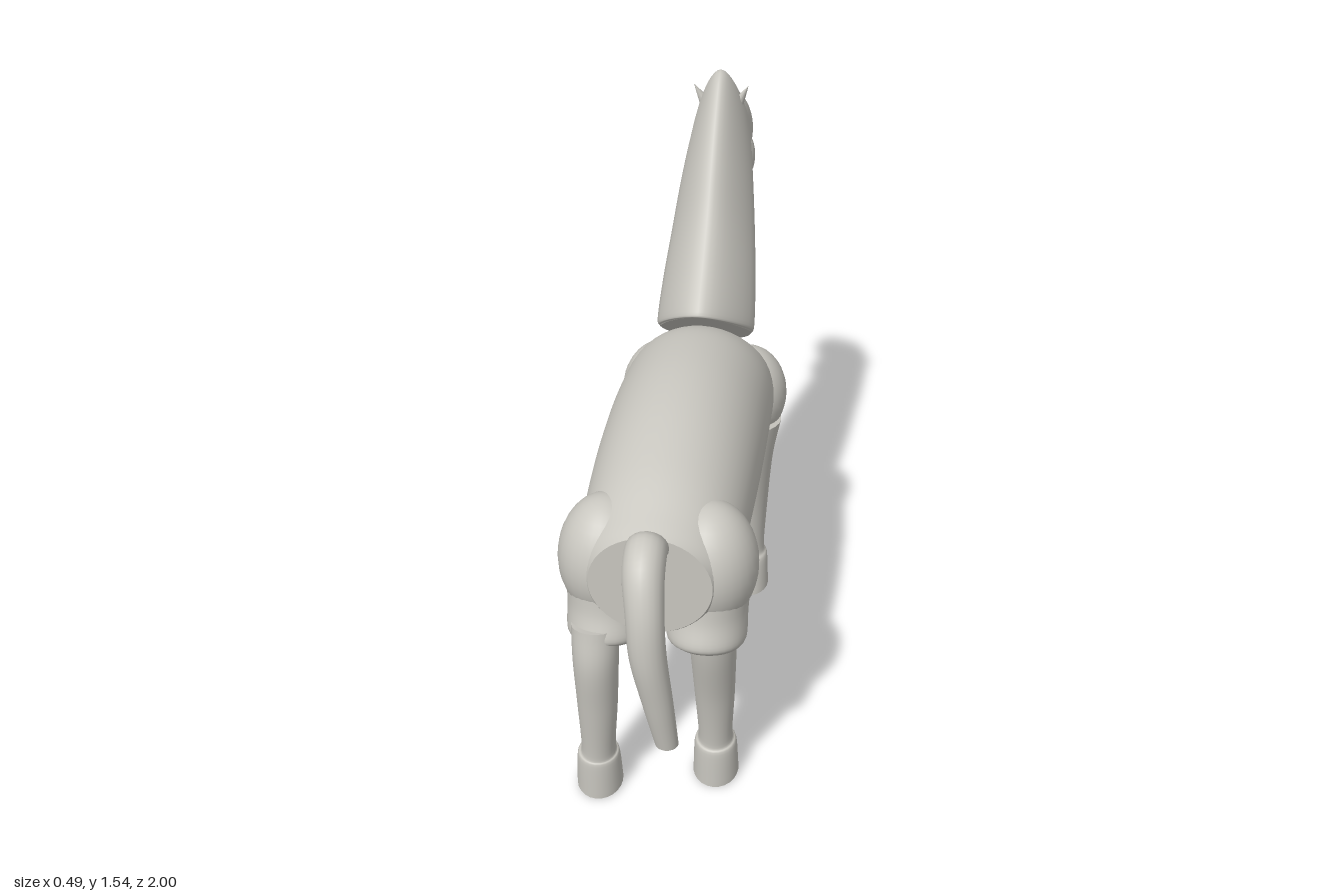
import * as THREE from 'three';

const coat = new THREE.MeshStandardMaterial({ color: 0xc9c7c0 });
coat.name = 'coat';

// Smooth closed sweep. Each section is [x, zA, yA, zB, yB, halfWidth]:
// A and B are opposite edge points in the side plane; narrow pinches the A edge.
function sweep(name, sections, { narrow = 0, steps = 6, sides = 32 } = {}) {
  const curve = f => new THREE.CatmullRomCurve3(sections.map(f), false, 'catmullrom', 0.5);
  const edgeA = curve(s => new THREE.Vector3(s[0], s[2], s[1]));
  const edgeB = curve(s => new THREE.Vector3(s[0], s[4], s[3]));
  const width = curve(s => new THREE.Vector3(s[5], 0, 0));
  const n = (sections.length - 1) * steps;
  const pos = [], idx = [], rings = [];
  const mids = [];
  for (let i = 0; i <= n; i++) {
    mids.push(edgeA.getPoint(i / n).add(edgeB.getPoint(i / n)).multiplyScalar(0.5));
  }
  for (let i = 0; i <= n; i++) {
    const u = edgeA.getPoint(i / n).sub(mids[i]);
    const w = width.getPoint(i / n).x;
    const along = mids[Math.min(i + 1, n)].clone().sub(mids[Math.max(i - 1, 0)]);
    const sign = new THREE.Vector3(1, 0, 0).cross(u).dot(along) < 0 ? -1 : 1;
    const ring = [];
    for (let j = 0; j < sides; j++) {
      const t = j / sides * Math.PI * 2, s = Math.sin(t) * sign;
      const p = mids[i].clone().addScaledVector(u, s);
      p.x += w * Math.cos(t) * (1 - narrow * Math.max(0, s));
      ring.push(p);
      pos.push(p.x, p.y, p.z);
    }
    rings.push(ring);
  }
  for (let i = 0; i < n; i++) {
    for (let j = 0; j < sides; j++) {
      const k = (j + 1) % sides, a = i * sides, b = a + sides;
      idx.push(a + j, a + k, b + k, a + j, b + k, b + j);
    }
  }
  // Flat end caps with their own vertices for a crisp rim
  for (const i of [0, n]) {
    const c = pos.length / 3;
    pos.push(mids[i].x, mids[i].y, mids[i].z);
    rings[i].forEach(p => pos.push(p.x, p.y, p.z));
    for (let j = 0; j < sides; j++) {
      const p = c + 1 + j, q = c + 1 + (j + 1) % sides;
      if (i === 0) idx.push(c, q, p); else idx.push(c, p, q);
    }
  }
  const g = new THREE.BufferGeometry();
  g.setAttribute('position', new THREE.Float32BufferAttribute(pos, 3));
  g.setIndex(idx);
  g.computeVertexNormals();
  const m = new THREE.Mesh(g, coat);
  m.name = name;
  return m;
}

function blob(name, x, y, z, rx, ry, rz) {
  const m = new THREE.Mesh(new THREE.SphereGeometry(1, 32, 20), coat);
  m.position.set(x, y, z);
  m.scale.set(rx, ry, rz);
  m.name = name;
  return m;
}

export function createModel() {
  const horse = new THREE.Group();
  horse.name = 'horse';

  // Barrel, rump to chest
  horse.add(sweep('body', [
    [0, 0.80, 0.84, 0.80, 0.57, 0.15],
    [0, 0.74, 0.865, 0.74, 0.535, 0.185],
    [0, 0.60, 0.92, 0.60, 0.508, 0.203],
    [0, 0.40, 0.965, 0.40, 0.50, 0.212],
    [0, 0.20, 0.98, 0.20, 0.498, 0.215],
    [0, 0.00, 0.965, 0.00, 0.497, 0.213],
    [0, -0.12, 0.93, -0.12, 0.495, 0.21],
    [0, -0.22, 0.87, -0.22, 0.50, 0.20],
    [0, -0.30, 0.80, -0.30, 0.525, 0.16],
    [0, -0.34, 0.76, -0.34, 0.56, 0.10],
  ], { sides: 48 }));

  // Neck with a narrow crest
  horse.add(sweep('neck', [
    [0, -0.06, 0.985, -0.37, 0.762, 0.132],
    [0, -0.055, 1.005, -0.39, 0.785, 0.14],
    [0, -0.15, 1.10, -0.45, 0.88, 0.134],
    [0, -0.25, 1.21, -0.52, 0.98, 0.122],
    [0, -0.34, 1.335, -0.58, 1.08, 0.108],
    [0, -0.44, 1.46, -0.635, 1.16, 0.092],
    [0, -0.53, 1.538, -0.67, 1.20, 0.078],
    [0, -0.59, 1.48, -0.70, 1.22, 0.07],
  ], { narrow: 0.35 }));

  // Head and muzzle
  horse.add(sweep('head', [
    [0, -0.50, 1.47, -0.62, 1.17, 0.075],
    [0, -0.60, 1.472, -0.68, 1.175, 0.082],
    [0, -0.70, 1.43, -0.74, 1.18, 0.078],
    [0, -0.79, 1.36, -0.80, 1.15, 0.069],
    [0, -0.90, 1.245, -0.86, 1.10, 0.06],
    [0, -0.985, 1.15, -0.915, 1.053, 0.052],
    [0, -1.00, 1.128, -0.928, 1.045, 0.044],
  ]));

  // Tail
  horse.add(sweep('tail', [
    [0, 0.77, 0.84, 0.76, 0.74, 0.045],
    [0, 0.85, 0.887, 0.82, 0.785, 0.05],
    [0.003, 0.935, 0.85, 0.87, 0.765, 0.05],
    [0.012, 0.985, 0.75, 0.905, 0.71, 0.046],
    [0.02, 1.00, 0.62, 0.915, 0.62, 0.044],
    [0.04, 0.985, 0.48, 0.914, 0.48, 0.037],
    [0.058, 0.962, 0.345, 0.902, 0.338, 0.028],
  ], { sides: 20 }));

  // Paired shoulders, hips, thighs, cheeks and ears
  for (const [side, s] of [['left', 1], ['right', -1]]) {
    horse.add(blob(side + 'Shoulder', 0.125 * s, 0.68, -0.205, 0.115, 0.14, 0.135));
    horse.add(blob(side + 'Hip', 0.125 * s, 0.695, 0.67, 0.122, 0.165, 0.13));
    horse.add(sweep(side + 'Thigh', [
      [0.13 * s, 0.785, 0.70, 0.56, 0.70, 0.105],
      [0.125 * s, 0.795, 0.60, 0.57, 0.57, 0.10],
      [0.124 * s, 0.815, 0.535, 0.59, 0.485, 0.10],
      [0.127 * s, 0.80, 0.51, 0.625, 0.468, 0.085],
    ]));
    horse.add(blob(side + 'Cheek', 0.045 * s, 1.23, -0.675, 0.045, 0.08, 0.065));

    const ear = new THREE.Mesh(new THREE.ConeGeometry(0.02, 0.075, 12), coat);
    ear.name = side + 'Ear';
    ear.position.set(0.061 * s, 1.456, -0.558);
    ear.rotation.set(0.2, 0, -0.5 * s);
    horse.add(ear);
  }

  // Legs with flared hooves; the right foreleg is lifted
  horse.add(sweep('leftFrontLeg', [
    [0.15, -0.06, 0.63, -0.26, 0.61, 0.08],
    [0.147, -0.082, 0.50, -0.234, 0.50, 0.062],
    [0.143, -0.125, 0.30, -0.238, 0.30, 0.051],
    [0.143, -0.148, 0.15, -0.238, 0.155, 0.044],
    [0.143, -0.135, 0.11, -0.25, 0.12, 0.055],
    [0.143, -0.125, 0.002, -0.262, 0.02, 0.06],
  ], { sides: 24 }));
  horse.add(sweep('rightFrontLeg', [
    [-0.14, -0.13, 0.56, -0.27, 0.62, 0.075],
    [-0.15, -0.20, 0.49, -0.30, 0.55, 0.065],
    [-0.165, -0.29, 0.395, -0.365, 0.45, 0.052],
    [-0.17, -0.35, 0.335, -0.41, 0.39, 0.046],
    [-0.17, -0.358, 0.31, -0.46, 0.37, 0.05],
    [-0.17, -0.352, 0.26, -0.487, 0.283, 0.053],
  ], { sides: 24 }));
  horse.add(sweep('leftHindLeg', [
    [0.143, 0.80, 0.56, 0.66, 0.54, 0.06],
    [0.143, 0.78, 0.46, 0.65, 0.45, 0.057],
    [0.143, 0.735, 0.30, 0.63, 0.30, 0.051],
    [0.143, 0.705, 0.14, 0.615, 0.155, 0.044],
    [0.143, 0.712, 0.11, 0.597, 0.12, 0.055],
    [0.143, 0.712, 0.002, 0.575, 0.02, 0.06],
  ], { sides: 24 }));
  horse.add(sweep('rightHindLeg', [
    [-0.143, 0.82, 0.56, 0.70, 0.54, 0.06],
    [-0.143, 0.834, 0.45, 0.71, 0.45, 0.057],
    [-0.145, 0.815, 0.30, 0.71, 0.30, 0.051],
    [-0.15, 0.793, 0.14, 0.70, 0.15, 0.044],
    [-0.152, 0.797, 0.11, 0.685, 0.12, 0.055],
    [-0.153, 0.795, 0.002, 0.66, 0.02, 0.06],
  ], { sides: 24 }));

  return horse;
}
